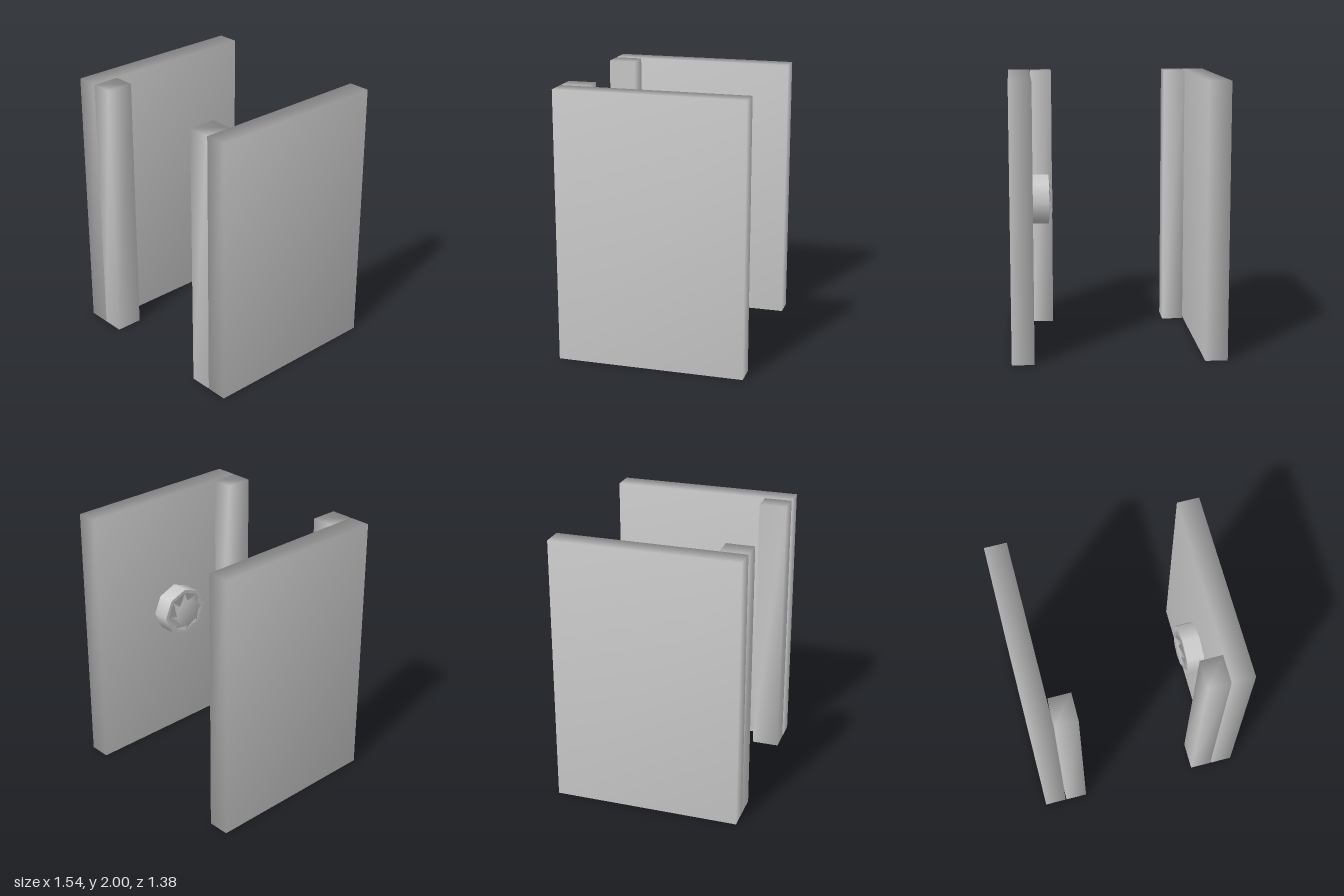
import * as THREE from 'three';
import { mergeVertices } from 'three/addons/utils/BufferGeometryUtils.js';

const material = new THREE.MeshStandardMaterial({ color: 0xcccccc });

// Shares corner vertices so the normals blend across the edges
function smooth(geometry) {
  geometry.deleteAttribute('normal');
  geometry.deleteAttribute('uv');
  const merged = mergeVertices(geometry, 1e-4);
  merged.computeVertexNormals();
  return merged;
}

function part(name, geometry, x, y, z) {
  const mesh = new THREE.Mesh(geometry, material);
  mesh.name = name;
  mesh.position.set(x, y, z);
  return mesh;
}

export function createModel() {
  const group = new THREE.Group();
  group.name = 'doorFrame';

  // Side walls with a front post standing just inside each one
  const wall = smooth(new THREE.BoxGeometry(0.162, 2, 1.376));
  const post = smooth(new THREE.BoxGeometry(0.162, 2, 0.204));
  for (const [side, s] of [['left', 1], ['right', -1]]) {
    group.add(part(side + 'Wall', wall, s * 0.691, 1, 0));
    group.add(part(side + 'Post', post, s * 0.522, 1, 0.586));
  }

  // Eight-sided button on the inner face of the left wall, pointing to -x
  const knob = new THREE.Group();
  knob.name = 'button';
  knob.position.set(0.61, 1.066, 0.052);
  knob.scale.y = 0.95;
  const body = new THREE.CylinderGeometry(0.197, 0.197, 0.13, 8).rotateZ(Math.PI / 2);
  const cap = new THREE.CylinderGeometry(0.11, 0.168, 0.026, 8).rotateZ(Math.PI / 2);
  knob.add(part('buttonBody', body, -0.065, 0, 0));
  knob.add(part('buttonCap', smooth(cap), -0.143, 0, 0));
  group.add(knob);

  return group;
}
